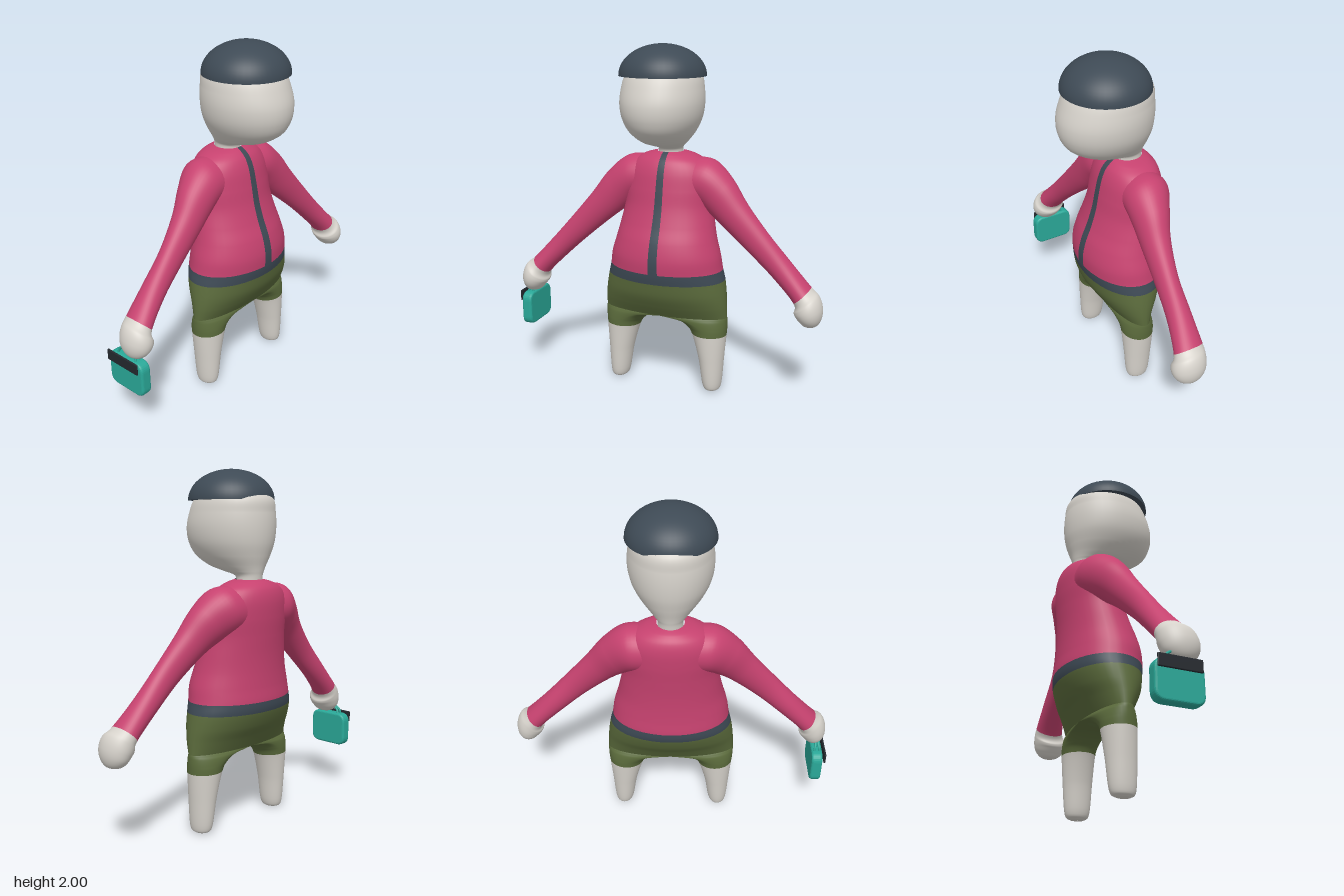
import * as THREE from 'three';
import { ParametricGeometry } from 'three/addons/geometries/ParametricGeometry.js';
import { RoundedBoxGeometry } from 'three/addons/geometries/RoundedBoxGeometry.js';

const mat = (name, color, side = THREE.FrontSide) => {
  const m = new THREE.MeshStandardMaterial({ color, side });
  m.name = name;
  return m;
};

// Smooth interpolation through rows of numbers; t is a row index
function rowAt(rows, t) {
  const last = rows.length - 1;
  const i = Math.min(Math.max(Math.floor(t), 0), last - 1), f = t - i;
  const a = rows[Math.max(i - 1, 0)], b = rows[i], c = rows[i + 1], d = rows[Math.min(i + 2, last)];
  return b.map((p, k) => {
    const m0 = (c[k] - a[k]) / 2, m1 = (d[k] - p) / 2, e = c[k] - p;
    return p + f * (m0 + f * (3 * e - 2 * m0 - m1 + f * (m0 + m1 - 2 * e)));
  });
}

// Skin rows of cross-sections between two row indices; side -1 mirrors in x
function loft(rows, ring, from, to, side = 1) {
  return new ParametricGeometry((u, v, p) => {
    ring(rowAt(rows, from + (to - from) * v), u * Math.PI * 2 * side, p);
    p.x *= side;
  }, 40, Math.ceil((to - from) * 6));
}

// Level ring: y, half width, front z, back z
const levelRing = ([y, rx, zf, zb], a, p) =>
  p.set(rx * Math.cos(a), y, (zf + zb) / 2 - (zf - zb) / 2 * Math.sin(a));

// Leg ring: y, centre x, outer x, inner x, front z, back z
const legRing = ([y, cx, xo, xi, zf, zb], a, p) => {
  const c = Math.cos(a);
  p.set(cx + c * (c > 0 ? xo - cx : cx - xi), y, (zf + zb) / 2 - (zf - zb) / 2 * Math.sin(a));
};

// Arm ring: centre x y z, radius in the xy plane, radius in z, tilt in degrees
const armRing = ([x, y, z, ru, rz, tilt], a, p) => {
  const t = THREE.MathUtils.degToRad(tilt), c = ru * Math.cos(a);
  p.set(x + c * Math.cos(t), y + c * Math.sin(t), z + rz * Math.sin(a));
};

const BODY = [
  [0.46, 0.376, 0.07, -0.15], [0.53, 0.373, 0.115, -0.19], [0.6, 0.366, 0.15, -0.235],
  [0.68, 0.353, 0.168, -0.268], [0.74, 0.338, 0.177, -0.275], [0.82, 0.325, 0.178, -0.268],
  [0.91, 0.3, 0.158, -0.264], [1.0, 0.28, 0.122, -0.265], [1.1, 0.262, 0.09, -0.272],
  [1.2, 0.262, 0.07, -0.28], [1.29, 0.25, 0.05, -0.28], [1.35, 0.21, 0.024, -0.265],
  [1.385, 0.145, -0.01, -0.235], [1.402, 0.075, -0.04, -0.2],
];

const LEG = [
  [0, 0.295, 0.297, 0.293, -0.03, -0.034], [0.005, 0.295, 0.33, 0.26, 0.01, -0.08],
  [0.04, 0.292, 0.348, 0.237, 0.034, -0.106], [0.2, 0.283, 0.36, 0.21, 0.044, -0.122],
  [0.35, 0.265, 0.372, 0.165, 0.05, -0.135], [0.4, 0.235, 0.376, 0.128, 0.054, -0.14],
  [0.435, 0.17, 0.377, 0.075, 0.06, -0.145], [0.451, 0.08, 0.377, 0.02, 0.066, -0.148],
  [0.46, 0, 0.376, 0, 0.07, -0.15],
];

const ARM = [
  [0.12, 1.24, -0.12, 0.13, 0.13, 88], [0.22, 1.235, -0.115, 0.133, 0.132, 75],
  [0.31, 1.165, -0.09, 0.118, 0.105, 56], [0.4, 1.07, -0.065, 0.096, 0.08, 46],
  [0.54, 0.93, -0.046, 0.078, 0.063, 45], [0.68, 0.79, -0.04, 0.067, 0.068, 45],
  [0.805, 0.66, -0.025, 0.064, 0.085, 45], [0.832, 0.615, -0.01, 0.083, 0.1, 38],
  [0.85, 0.575, -0.005, 0.078, 0.1, 24], [0.86, 0.535, -0.005, 0.063, 0.085, 14],
  [0.862, 0.503, -0.005, 0.04, 0.052, 6], [0.862, 0.49, -0.005, 0.002, 0.002, 0],
];

const HEAD = [
  [1.37, 0.07, -0.045, -0.195], [1.42, 0.07, -0.04, -0.2], [1.445, 0.095, 0.05, -0.205],
  [1.475, 0.13, 0.155, -0.212], [1.53, 0.178, 0.24, -0.228], [1.6, 0.214, 0.278, -0.244],
  [1.68, 0.229, 0.285, -0.25], [1.76, 0.225, 0.264, -0.246], [1.84, 0.206, 0.226, -0.232],
  [1.91, 0.15, 0.16, -0.15], [1.95, 0.002, 0.012, 0.008],
];

export function createModel() {
  const model = new THREE.Group();
  const skin = mat('skin', 0xd6d2cb), jacket = mat('jacket pink', 0xc6426f);
  const shorts = mat('shorts olive', 0x5b6b3c), trim = mat('trim slate', 0x3e4a55, THREE.DoubleSide);
  const teal = mat('bag teal', 0x2aa898), black = mat('strap black', 0x24282e);
  const add = (name, geometry, material, parent = model) => {
    const mesh = new THREE.Mesh(geometry, material);
    mesh.name = name;
    parent.add(mesh);
    return mesh;
  };

  // Trunk, split by colour at the belt
  add('shortsTop', loft(BODY, levelRing, 0, 3), shorts);
  add('belt', loft(BODY, levelRing, 3, 4), trim);
  add('jacketBody', loft(BODY, levelRing, 4, 13), jacket);

  // Front placket, following the trunk and narrowing upward
  add('placket', new ParametricGeometry((u, v, p) => {
    const r = rowAt(BODY, 4 + 9 * v);
    const x = (u - 0.5) * (0.056 - 0.024 * v);
    levelRing(r, -Math.acos(x / r[1]), p);
    p.z += 0.005;
    p.y += 0.002;
  }, 4, 54), trim);

  // Limbs on both sides
  for (const [label, side] of [['left', 1], ['right', -1]]) {
    add(label + 'Leg', loft(LEG, legRing, 0, 4, side), skin);
    add(label + 'ShortsLeg', loft(LEG, legRing, 4, 8, side), shorts);
    // Arm rings run outward and down, so their z term is reversed to face out
    add(label + 'Sleeve', loft(ARM, armRing, 0, 6, side), jacket);
    add(label + 'Hand', loft(ARM, armRing, 6, 11, side), skin);
  }

  // Head with neck
  add('head', loft(HEAD, levelRing, 0, 10), skin);

  // Domed cap with a closed underside
  const cap = new THREE.Group();
  cap.name = 'cap';
  cap.position.set(0, 1.83, 0.015);
  model.add(cap);
  const dome = new THREE.SphereGeometry(0.24, 48, 16, 0, Math.PI * 2, 0, Math.PI / 2);
  add('capDome', dome.scale(1, 0.17 / 0.24, 1), trim, cap);
  add('capUnderside', new THREE.CircleGeometry(0.24, 48).rotateX(Math.PI / 2), trim, cap);

  // Handbag hanging from the right hand
  const bag = new THREE.Group();
  bag.name = 'handbag';
  bag.position.set(-0.873, 0.385, -0.04);
  model.add(bag);
  const pouch = new THREE.Shape();
  const w = 0.115, h = 0.09, r = 0.04;
  pouch.moveTo(-w + r, -h).lineTo(w - r, -h).quadraticCurveTo(w, -h, w, -h + r)
    .lineTo(w, h - r).quadraticCurveTo(w, h, w - r, h)
    .lineTo(-w + r, h).quadraticCurveTo(-w, h, -w, h - r)
    .lineTo(-w, -h + r).quadraticCurveTo(-w, -h, -w + r, -h);
  const body = new THREE.ExtrudeGeometry(pouch, {
    depth: 0.036, bevelThickness: 0.014, bevelSize: 0.013, bevelSegments: 4, curveSegments: 8,
  });
  add('bagBody', body.translate(0, 0, -0.018).rotateY(Math.PI / 2), teal, bag);
  for (const x of [-0.016, 0.016]) {
    const path = new THREE.CatmullRomCurve3([
      new THREE.Vector3(x, 0.09, -0.07), new THREE.Vector3(x * 0.7, 0.125, -0.058),
      new THREE.Vector3(x * 0.4, 0.155, 0), new THREE.Vector3(x * 0.7, 0.125, 0.058),
      new THREE.Vector3(x, 0.09, 0.07),
    ]);
    add('bagHandle', new THREE.TubeGeometry(path, 24, 0.007, 8), teal, bag);
  }
  add('bagStrap', new RoundedBoxGeometry(0.011, 0.065, 0.23, 3, 0.005), black, bag)
    .position.set(-0.044, 0.08, -0.005);
  return model;
}
